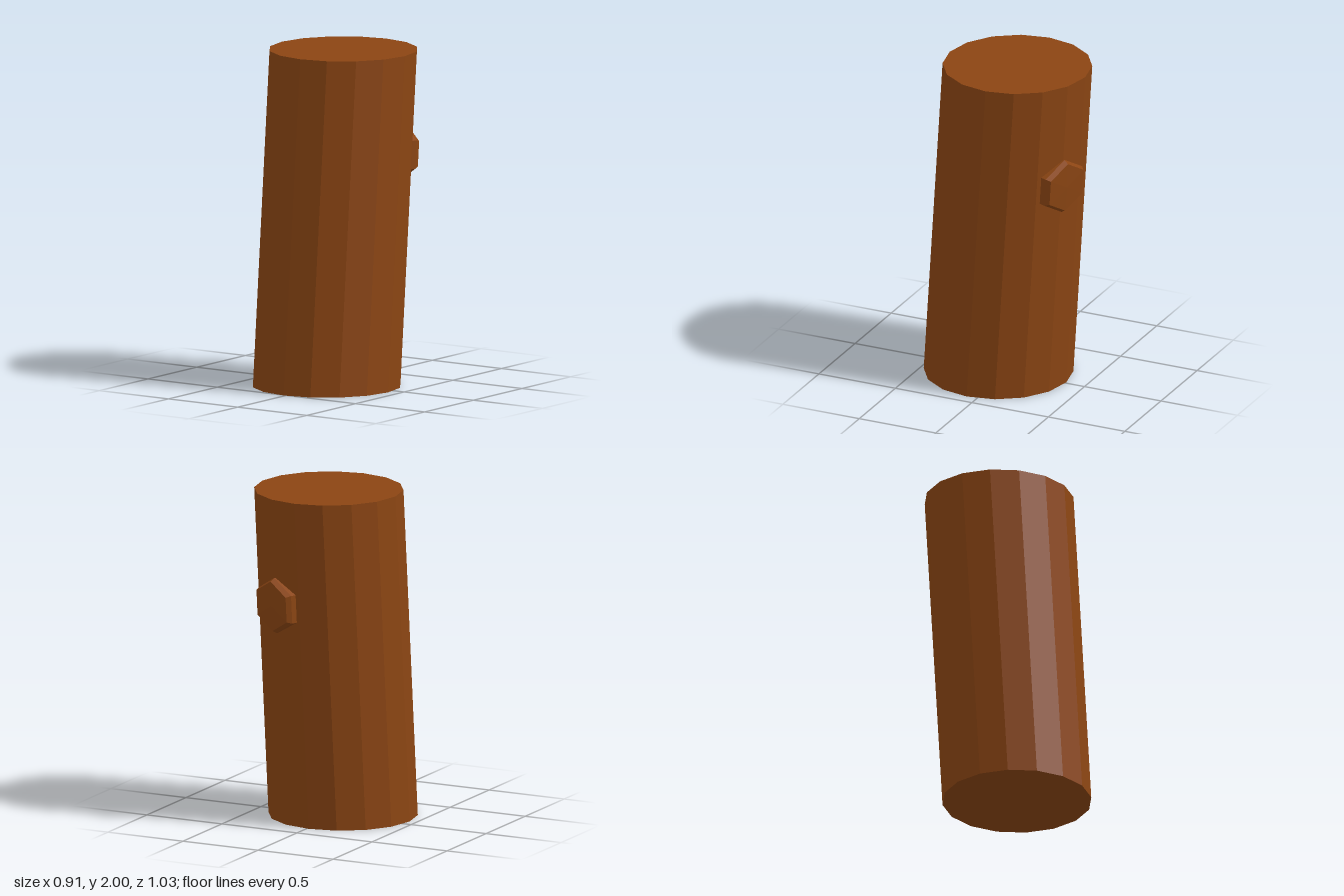
import * as THREE from 'three';

export function createModel() {
  const group = new THREE.Group();
  const bark = new THREE.MeshStandardMaterial({ color: 0x8b4513, flatShading: true });

  // Lean shared by all parts: x and z drift with height, so the cut ends stay level
  const leanX = 0.0125, leanZ = -0.0675;
  const lean = new THREE.Matrix4().set(
    1, leanX, 0, 0,
    0, 1, 0, 0,
    0, leanZ, 1, 0,
    0, 0, 0, 1
  );

  // Sixteen-sided trunk
  const trunkGeometry = new THREE.CylinderGeometry(0.443, 0.443, 2, 16);
  trunkGeometry.applyMatrix4(lean).translate(0, 1, 0);
  const trunk = new THREE.Mesh(trunkGeometry, bark);
  trunk.name = 'trunk';
  group.add(trunk);

  // Bevelled hexagonal stub of a cut branch: [radius, distance along its axis]
  const profile = [[0, -0.1], [0.168, -0.1], [0.17, -0.03], [0.152, 0], [0, 0.004]]
    .map(([r, d]) => new THREE.Vector2(r, d));
  const stubGeometry = new THREE.LatheGeometry(profile, 6);
  stubGeometry.rotateX(-Math.PI / 2).rotateY(-0.38);
  stubGeometry.applyMatrix4(lean).translate(0.185, 1.35, -0.47);
  const stub = new THREE.Mesh(stubGeometry, bark);
  stub.name = 'branchStub';
  group.add(stub);

  return group;
}
